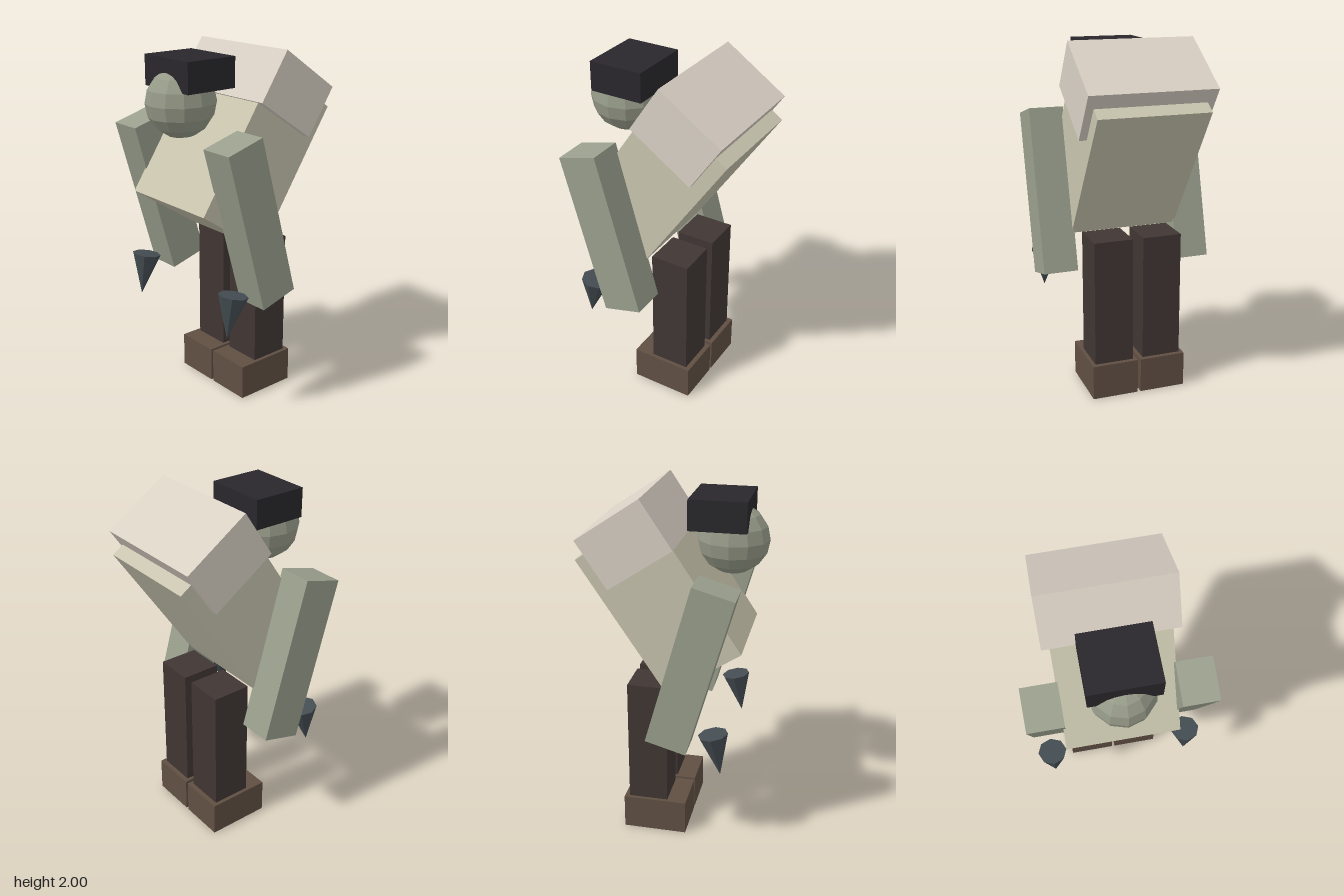
import * as THREE from 'three';

const mat = (color) => new THREE.MeshStandardMaterial({ color, flatShading: true });
const MATS = {
  torso: mat(0xc8c4ae), hump: mat(0xd9d0c4), arm: mat(0x9a9f8d), head: mat(0x969a88),
  hat: mat(0x29272b), leg: mat(0x403633), foot: mat(0x604f43), claw: mat(0x444d52),
};

export function createModel() {
  const group = new THREE.Group();

  const add = (name, geometry, material, [x, y, z], tilt = 0) => {
    const mesh = new THREE.Mesh(geometry, material);
    mesh.name = name;
    mesh.position.set(x, y, z);
    mesh.rotation.x = tilt;
    group.add(mesh);
    return mesh;
  };
  const box = (w, h, d) => new THREE.BoxGeometry(w, h, d);

  // Torso leaning back, with a wide block across the shoulders
  const lean = -0.59;
  add('torso', box(0.62, 0.877, 0.484), MATS.torso, [0, 1.415, -0.048], lean);
  add('shoulderBlock', box(0.705, 0.308, 0.42), MATS.hump, [0, 1.751, -0.22], lean);

  // Faceted head and flat hat
  const head = add('head', new THREE.SphereGeometry(1, 12, 8), MATS.head, [0, 1.725, 0.294]);
  head.scale.set(0.18, 0.19, 0.197);
  add('hat', box(0.368, 0.165, 0.31), MATS.hat, [0, 1.882, 0.234]);

  // Limbs, mirrored left (+x) and right (-x)
  for (const [side, s] of [['left', 1], ['right', -1]]) {
    add(side + 'Arm', box(0.195, 0.923, 0.231), MATS.arm, [s * 0.397, 1.13, 0.151], 0.273);
    add(side + 'Claw', new THREE.CylinderGeometry(0.083, 0, 0.247, 8), MATS.claw,
      [s * 0.396, 0.625, 0.291], -0.18);
    add(side + 'Leg', box(0.224, 0.72, 0.225), MATS.leg, [s * 0.142, 0.56, -0.132]);
    add(side + 'Foot', box(0.266, 0.2, 0.364), MATS.foot, [s * 0.142, 0.1, -0.09]);
  }

  return group;
}
